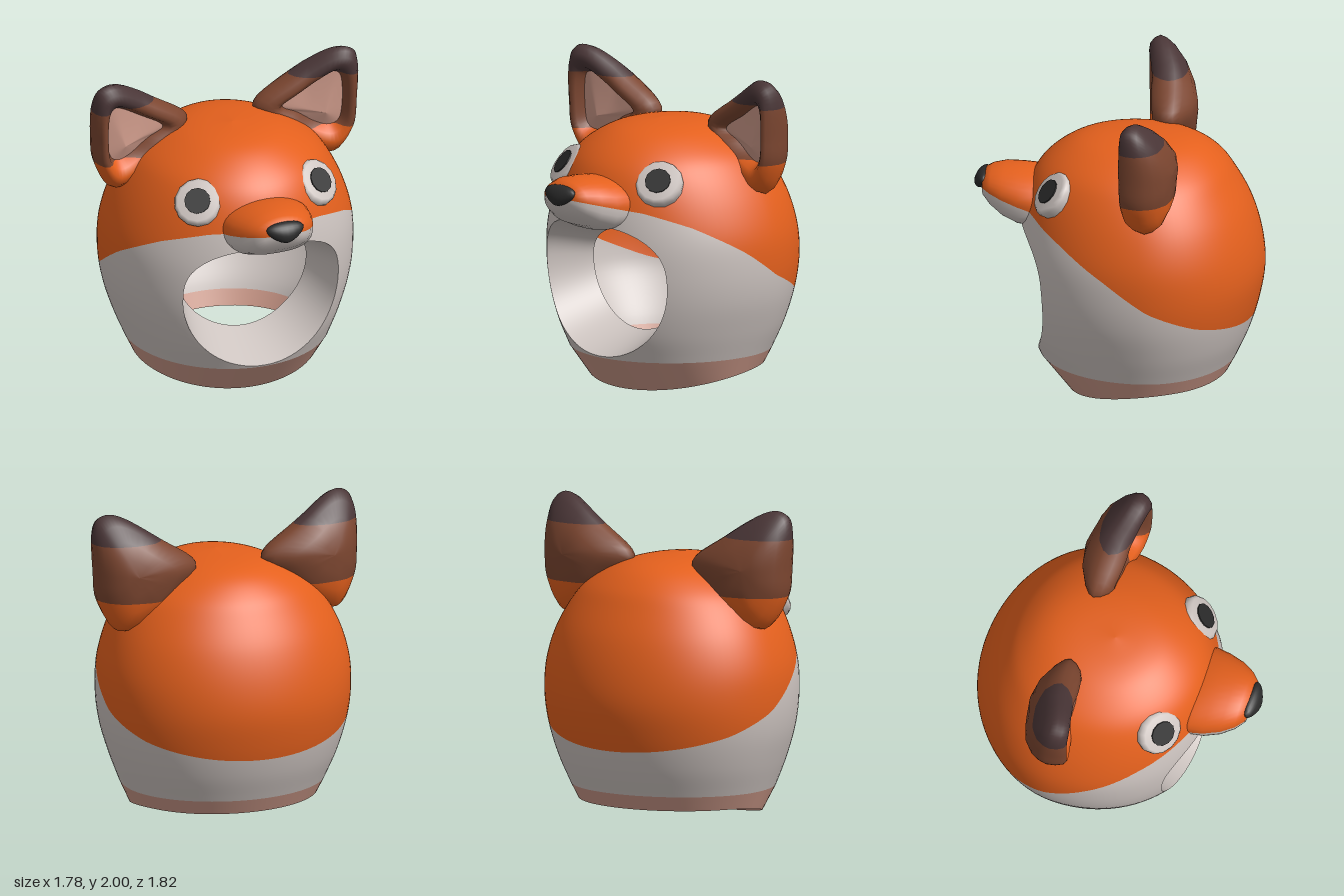
import * as THREE from 'three';

const mat = (name, color) => Object.assign(new THREE.MeshStandardMaterial({ color }), { name });
const { lerp, clamp, smoothstep } = THREE.MathUtils;
const V = (x, y, z) => new THREE.Vector3(x, y, z);
const TAU = Math.PI * 2;

// Smooth surface closed in u, from a rule fn(u, v) returning a Vector3
function grid(fn, nu, nv, flip = false) {
  const pos = [], idx = [];
  for (let j = 0; j <= nv; j++)
    for (let i = 0; i < nu; i++) pos.push(...fn(i / nu, j / nv).toArray());
  for (let j = 0; j < nv; j++)
    for (let i = 0; i < nu; i++) {
      const a = j * nu + i, b = j * nu + (i + 1) % nu, c = a + nu, d = b + nu;
      if (flip) idx.push(a, c, b, b, c, d);
      else idx.push(a, b, c, b, d, c);
    }
  const g = new THREE.BufferGeometry();
  g.setAttribute('position', new THREE.Float32BufferAttribute(pos, 3));
  g.setIndex(idx);
  g.computeVertexNormals();
  return g;
}

// Keep the part of a geometry where sign * f(x, y, z) >= 0
function clip(geo, f, sign = 1) {
  const g = geo.index ? geo.toNonIndexed() : geo;
  const P = g.attributes.position, N = g.attributes.normal, pos = [], nor = [];
  for (let t = 0; t < P.count; t += 3) {
    const tri = [0, 1, 2].map(k => {
      const p = V().fromBufferAttribute(P, t + k);
      return { p, n: V().fromBufferAttribute(N, t + k), d: sign * f(p.x, p.y, p.z) };
    });
    const poly = [];
    tri.forEach((a, k) => {
      const b = tri[(k + 1) % 3];
      if (a.d >= 0) poly.push(a);
      if ((a.d >= 0) !== (b.d >= 0)) {
        const s = a.d / (a.d - b.d);
        poly.push({ p: a.p.clone().lerp(b.p, s), n: a.n.clone().lerp(b.n, s).normalize() });
      }
    });
    for (let k = 1; k + 1 < poly.length; k++)
      for (const q of [poly[0], poly[k], poly[k + 1]]) {
        pos.push(...q.p.toArray());
        nor.push(...q.n.toArray());
      }
  }
  const out = new THREE.BufferGeometry();
  out.setAttribute('position', new THREE.Float32BufferAttribute(pos, 3));
  out.setAttribute('normal', new THREE.Float32BufferAttribute(nor, 3));
  return out;
}

// Hood profile rows: height, half width, front z, back z, z of the widest point
const ROWS = [[.22, .65, .5, -.74, -.18], [.4, .72, .58, -.82, -.2], [.6, .78, .62, -.88, -.2],
  [.8, .805, .635, -.91, -.2], [1, .795, .63, -.89, -.2], [1.2, .735, .6, -.83, -.2],
  [1.38, .64, .54, -.735, -.18], [1.5, .535, .45, -.65, -.15], [1.6, .37, .31, -.52, -.12],
  [1.65, .21, .16, -.35, -.09], [1.673, 0, -.05, -.05, -.05]];
const spline = c => new THREE.CatmullRomCurve3(ROWS.map(r => V(r[c], r[0], r[4])), false, 'catmullrom');
const [sideCurve, frontCurve, backCurve] = [1, 2, 3].map(spline);

// One level of the hood; the inner skin is deep behind the face opening, thin elsewhere
function ring(t, inner) {
  const s = sideCurve.getPoint(t), y = s.y, c = s.z;
  const r = { y, c, w: s.x, f: frontCurve.getPoint(t).x - c, b: c - backCurve.getPoint(t).x };
  if (inner) {
    const k = lerp(.84, .95, smoothstep(y, .22, .6));
    r.w *= k;
    r.b *= k;
    r.f *= lerp(.45, .94, smoothstep(y, .9, 1.45));
    r.y -= .05 * Math.max(0, (y - 1) / .67);
  }
  return r;
}
function hoodPoint(u, t, inner) {
  const r = ring(t, inner), c = Math.cos(u * TAU);
  return V(r.w * Math.sin(u * TAU), r.y, r.c + (c > 0 ? r.f : r.b) * c);
}
function hoodFrontZ(x, y, inner) {
  let lo = 0, hi = 0.8;
  for (let i = 0; i < 24; i++) {
    const m = (lo + hi) / 2;
    if (ring(m, inner).y < y) lo = m; else hi = m;
  }
  const r = ring(lo, inner);
  return r.c + r.f * Math.sqrt(Math.max(0, 1 - (x / r.w) ** 2));
}
// Lower edge of the neck, rising toward the back
function neckPoint(u, inner) {
  const c = Math.cos(u * TAU), k = inner ? .83 : 1;
  const z = -.185 + .505 * c * (inner && c > 0 ? .6 : k);
  return V(.6 * k * Math.sin(u * TAU), .125 * Math.sin(clamp((.32 - z) / .75, 0, 1) * Math.PI / 2), z);
}

// Egg-shaped face opening on the outer and inner skins
const HOLE = { outer: { rx: .52, cy: .75, up: .35, down: .52, pUp: 2.5, pDown: 2.1, inner: false },
  inner: { rx: .43, cy: .74, up: .24, down: .39, pUp: 2.3, pDown: 1.95, inner: true } };
const outsideHole = h => (x, y, z) => {
  if (z < -.1) return 1;
  const [r, p] = y > h.cy ? [h.up, h.pUp] : [h.down, h.pDown];
  return Math.abs(x / h.rx) ** p + Math.abs((y - h.cy) / r) ** p - 1;
};
function holePoint(u, h) {
  const c = Math.cos(u * TAU), s = Math.sin(u * TAU), e = 2 / (s > 0 ? h.pUp : h.pDown);
  const x = h.rx * Math.sign(c) * Math.abs(c) ** e;
  const y = h.cy + (s > 0 ? h.up : -h.down) * Math.abs(s) ** e;
  return V(x, y, hoodFrontZ(x, y, h.inner));
}

// Line between the orange crown and the white cheeks
const LINE = [[-.95, .48], [-.86, .505], [-.55, .615], [-.26, .75], [0, .93], [.3, 1.105], [.5, 1.195], [.8, 1.25]];
function aboveCheek(x, y, z) {
  const i = clamp(LINE.findIndex(p => p[0] > z), 1, LINE.length - 1);
  const [a, b] = [LINE[i - 1], LINE[i]];
  return y - lerp(a[1], b[1], (z - a[0]) / (b[0] - a[0]));
}

// Snout sections: z, half width, top, bottom
const SNOUT = [[.46, 0, 1.25, 1.25], [.46, .28, 1.37, 1.12], [.53, .29, 1.395, 1.06], [.62, .275, 1.405, 1.063],
  [.72, .24, 1.41, 1.105], [.8, .19, 1.395, 1.165], [.85, .135, 1.37, 1.22], [.875, 0, 1.3, 1.3]];

// Ear outlines: rim and the edge of the inner hollow, matched point by point
const loop = pts => new THREE.CatmullRomCurve3(pts.map(p => V(p[0], p[1], 0)), true, 'catmullrom');
const earRim = loop([[.22, 1.66], [.45, 1.83], [.7, 1.985], [.835, 1.985], [.885, 1.88], [.882, 1.65],
  [.86, 1.45], [.73, 1.26], [.5, 1.35], [.33, 1.5]]);
const earHollow = loop([[.4, 1.635], [.56, 1.74], [.7, 1.825], [.755, 1.825], [.78, 1.76], [.785, 1.62],
  [.765, 1.5], [.7, 1.465], [.61, 1.495], [.5, 1.57]]);
// Rows from the back to the hollow: blend toward rim, blend toward hollow, depth
const EAR = [[0, 0, -.16], [.3, 0, -.158], [.6, 0, -.145], [.85, 0, -.1], [.96, 0, -.05], [1, 0, 0],
  [1, .1, .06], [1, .3, .11], [1, .55, .13], [1, .8, .11], [1, 1, .05]];

export function createModel() {
  const model = new THREE.Group();
  const orange = mat('orange fur', 0xe4601d), white = mat('white fur', 0xcdc4c0);
  const pink = mat('pink lining', 0xcb9888), brown = mat('brown ear', 0x7c4630);
  const dark = mat('dark ear tip', 0x4a3637), black = mat('black', 0x2a2a2a);
  const add = (name, geo, material, parent = model) => {
    const m = new THREE.Mesh(geo, material);
    m.name = name;
    parent.add(m);
    return m;
  };

  // Hood skins with the face opening cut out
  for (const [name, h] of Object.entries(HOLE)) {
    const skin = clip(grid((u, v) => hoodPoint(u, v, h.inner), 96, 60, h.inner), outsideHole(h));
    add(name + 'Crown', clip(skin, aboveCheek), orange);
    add(name + 'Cheeks', clip(skin, aboveCheek, -1), white);
    add(name + 'NeckBand', grid((u, v) =>
      neckPoint(u, h.inner).lerp(hoodPoint(u, 0, h.inner), v), 96, 3, h.inner), pink);
  }
  add('neckRim', grid((u, v) => neckPoint(u, true).lerp(neckPoint(u, false), v), 96, 1), pink);
  add('faceOpeningEdge', grid((u, v) => holePoint(u, HOLE.outer).lerp(holePoint(u, HOLE.inner), v), 96, 6), white);

  // Snout, split into orange top and white muzzle, boxier underneath
  const snout = grid((u, v) => {
    const r = SNOUT[Math.round(v * (SNOUT.length - 1))], s = Math.sin(u * TAU), c = Math.cos(u * TAU);
    const e = c < 0 ? .7 : 1;
    return V(-r[1] * Math.sign(s) * Math.abs(s) ** e,
      (r[2] + r[3]) / 2 + (r[2] - r[3]) / 2 * Math.sign(c) * Math.abs(c) ** e, r[0]);
  }, 32, SNOUT.length - 1);
  const snoutLine = (x, y, z) => y - 1.2 - (z - .53) * .28;
  add('snoutTop', clip(snout, snoutLine), orange);
  add('muzzle', clip(snout, snoutLine, -1), white);

  // Nose, narrowing downward
  const noseGeo = new THREE.SphereGeometry(1, 20, 14), np = noseGeo.attributes.position;
  for (let i = 0; i < np.count; i++) np.setX(i, np.getX(i) * (1 + .4 * np.getY(i)));
  noseGeo.scale(.116, .068, .046);
  noseGeo.computeVertexNormals();
  const nose = add('nose', noseGeo, black);
  nose.position.set(0, 1.312, .862);
  nose.rotation.x = -.5;

  for (const side of [1, -1]) {
    const label = side > 0 ? 'left' : 'right';

    // Rounded eye disc with a thin pupil
    const eye = new THREE.Group();
    eye.name = label + 'Eye';
    eye.position.set(.393 * side, 1.365, .37);
    eye.quaternion.setFromUnitVectors(V(0, 1, 0), V(.4 * side, .6, .69).normalize());
    const disc = [[.147, -.05], [.153, 0], [.147, .025], [.128, .045], [0, .05]];
    add('eyeWhite', new THREE.LatheGeometry(disc.map(p => new THREE.Vector2(...p)), 14), white, eye);
    add('pupil', new THREE.CylinderGeometry(.082, .082, .008, 12), black, eye).position.y = .052;
    model.add(eye);

    // Ear, leaning forward toward the tip and the outer edge, thinner at its ends
    const ear = new THREE.Group();
    ear.name = label + 'Ear';
    const place = (p, depth) => {
      const thin = (1 - .28 * smoothstep(p.y, 1.65, 2)) * lerp(.7, 1, smoothstep(p.x, .2, .5));
      const lean = .4 * Math.max(0, p.y - 1.6) ** 2 + .18 * Math.max(0, p.x - .55);
      return V(p.x * side, p.y, -.27 + lean + depth * thin);
    };
    const shell = grid((u, v) => {
      const [s, t, z] = EAR[Math.round(v * (EAR.length - 1))];
      return place(V(.66, 1.64, 0).lerp(earRim.getPoint(u), s).lerp(earHollow.getPoint(u), t), z);
    }, 50, EAR.length - 1, side > 0);
    const overBase = (x, y) => y - 1.47, overTip = (x, y) => y - 1.83;
    add('earBase', clip(shell, overBase, -1), orange, ear);
    add('earMiddle', clip(clip(shell, overBase), overTip, -1), brown, ear);
    add('earTip', clip(shell, overTip), dark, ear);
    add('earLining', grid((u, v) =>
      place(earHollow.getPoint(u).lerp(V(.67, 1.56, 0), v), lerp(.05, .085, v)), 50, 4, side > 0), pink, ear);
    model.add(ear);
  }
  return model;
}
